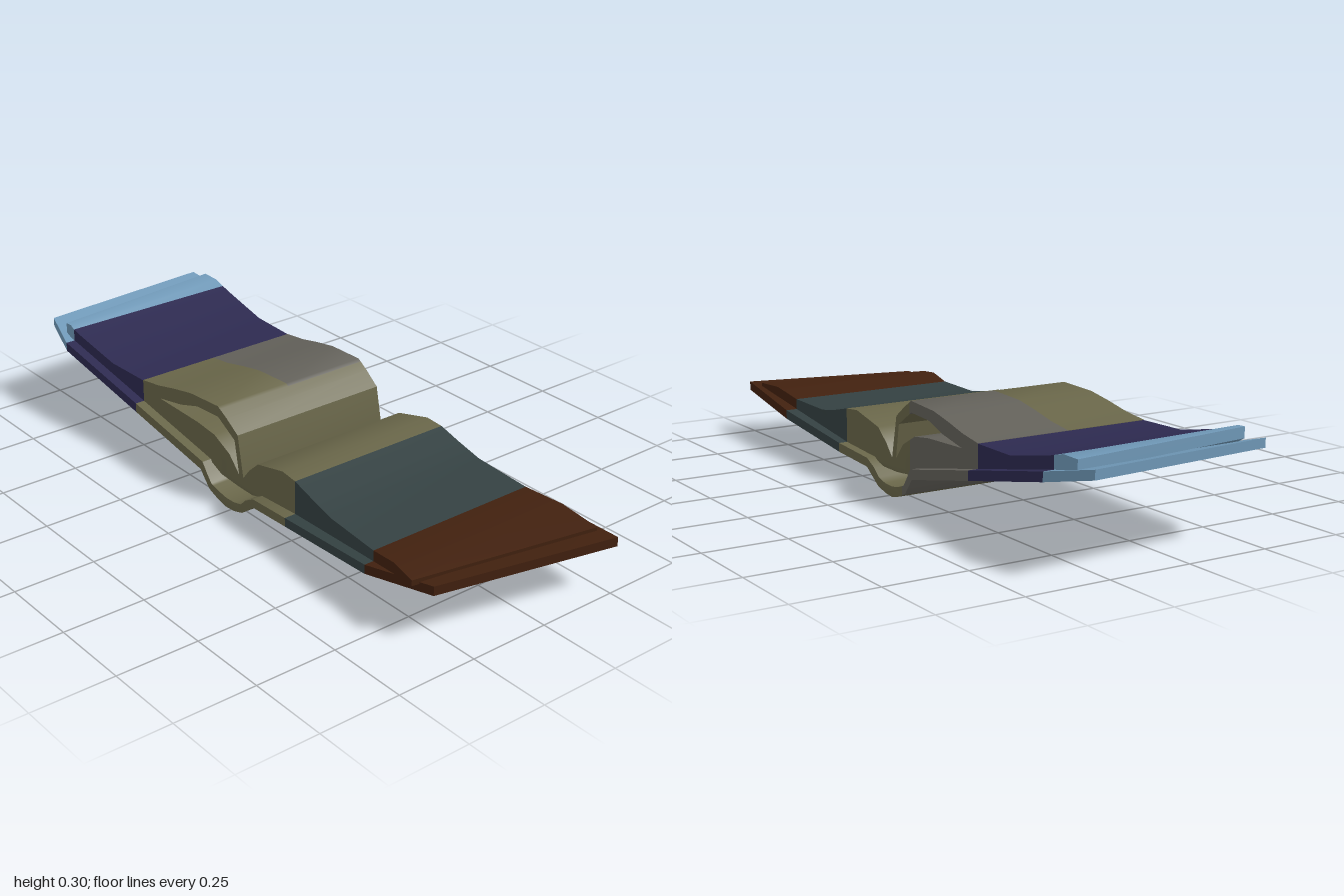
import * as THREE from 'three';
import { toCreasedNormals } from 'three/addons/utils/BufferGeometryUtils.js';

const mat = (name, color) => {
  const m = new THREE.MeshStandardMaterial({ color, side: THREE.DoubleSide });
  m.name = name;
  return m;
};

// height (or depth) along a polyline of [x, value] points
function at(line, x) {
  if (x <= line[0][0]) return line[0][1];
  for (let i = 1; i < line.length; i++) {
    const [x0, a] = line[i - 1], [x1, b] = line[i];
    if (x <= x1) return a + (b - a) * (x - x0) / (x1 - x0);
  }
  return line[line.length - 1][1];
}

// polyline clipped to x0..x1
function clip(line, x0, x1) {
  return [[x0, at(line, x0)], ...line.filter(p => p[0] > x0 + 1e-4 && p[0] < x1 - 1e-4), [x1, at(line, x1)]];
}

export function createModel() {
  const book = new THREE.Group();
  book.name = 'openBook';

  const blue = mat('light blue', 0x7099b8);
  const navy = mat('navy', 0x2d2a50);
  const grey = mat('warm grey', 0x63615a);
  const olive = mat('olive', 0x696649);
  const teal = mat('dark teal', 0x344142);
  const brown = mat('brown', 0x42210f);

  // colour bands: x from, x to, depth share from, to
  const bands = [
    [-1, -0.83, 0, 1, blue],
    [-0.83, -0.46, 0, 1, navy],
    [-0.46, -0.08, 0, 0.53, grey],
    [-0.46, -0.08, 0.53, 1, olive],
    [-0.08, 0.28, 0, 1, olive],
    [0.28, 0.65, 0, 1, teal],
    [0.65, 1, 0, 1, brown],
  ];

  // a layer between two height lines, its back and front edges given along x
  function addLayer(name, { top, bottom, back, front, slantLeft, slantRight }) {
    const group = new THREE.Group();
    group.name = name;
    const start = top[0][0], end = top[top.length - 1][0];
    for (const [b0, b1, t0, t1, material] of bands) {
      const x0 = Math.max(b0, start), x1 = Math.min(b1, end);
      if (x1 - x0 < 0.001) continue;
      const outline = [...clip(bottom, x0, x1), ...clip(top, x0, x1).reverse()];
      const shape = new THREE.Shape(outline.map(p => new THREE.Vector2(p[0], p[1])));
      const geo = new THREE.ExtrudeGeometry(shape, { depth: 1, bevelEnabled: false });
      const pos = geo.attributes.position;
      for (let i = 0; i < pos.count; i++) {
        const x = pos.getX(i), t = t0 + (t1 - t0) * pos.getZ(i);
        pos.setZ(i, THREE.MathUtils.lerp(at(back, x), at(front, x), t));
        // slanted outer edges
        const w = x < 0 ? Math.max(0, (-x - 0.83) / 0.17) * slantLeft
          : -Math.max(0, (x - 0.65) / 0.35) * slantRight;
        pos.setX(i, x + w * t);
      }
      geo.computeVertexNormals();
      const mesh = new THREE.Mesh(toCreasedNormals(geo, 0.7), material);
      mesh.name = name + ' ' + material.name;
      group.add(mesh);
    }
    book.add(group);
  }

  // cover boards joined by a rounded, hollow spine
  addLayer('cover', {
    bottom: [[-1, 0.26], [-0.14, 0.08], [-0.125, 0.06], [-0.1, 0.03], [-0.06, 0.013], [-0.02, 0.003],
      [0.02, 0.007], [0.06, 0.02], [0.09, 0.042], [0.12, 0.065], [1, 0.145]],
    top: [[-1, 0.287], [-0.13, 0.108], [-0.11, 0.078], [-0.09, 0.052], [-0.06, 0.042], [-0.02, 0.034],
      [0.02, 0.036], [0.055, 0.046], [0.08, 0.07], [0.12, 0.092], [1, 0.173]],
    back: [[-1, -0.3], [-0.985, -0.328], [-0.95, -0.34], [0, -0.3], [0.36, -0.315], [0.8, -0.295], [0.97, -0.277], [1, -0.262]],
    front: [[-1, 0.28], [-0.98, 0.305], [-0.93, 0.315], [0, 0.28], [0.9, 0.335], [0.97, 0.322], [1, 0.285]],
    slantLeft: 0.045, slantRight: 0.12,
  });

  // edges shared by the page block and the lifted leaves
  const pageEdges = {
    back: [[-0.935, -0.305], [0, -0.273], [0.3, -0.285], [0.935, -0.25]],
    front: [[-0.935, 0.285], [0, 0.25], [0.33, 0.262], [0.935, 0.315]],
    slantLeft: 0.11, slantRight: 0.13,
  };

  // page block lying on the cover
  addLayer('pageBlock', {
    ...pageEdges,
    bottom: [[-0.935, 0.268], [-0.13, 0.102], [-0.08, 0.078], [0, 0.07], [0.07, 0.072], [0.12, 0.086], [0.935, 0.161]],
    top: [[-0.935, 0.3], [-0.87, 0.3], [-0.8, 0.282], [-0.62, 0.246], [-0.46, 0.245], [-0.42, 0.23], [-0.38, 0.216],
      [-0.19, 0.207], [-0.11, 0.196], [-0.04, 0.16], [0.002, 0.112], [0.025, 0.108], [0.055, 0.145], [0.1, 0.185],
      [0.22, 0.215], [0.28, 0.21], [0.36, 0.191], [0.45, 0.175], [0.65, 0.173], [0.8, 0.187], [0.935, 0.178]],
  });

  // leaves arching up over a gap and folding into the spine
  addLayer('liftedLeaves', {
    ...pageEdges,
    bottom: [[-0.46, 0.244], [-0.38, 0.215], [-0.27, 0.234], [-0.19, 0.258], [-0.09, 0.262], [-0.015, 0.215], [0.004, 0.11], [0.025, 0.106]],
    top: [[-0.46, 0.246], [-0.38, 0.257], [-0.3, 0.275], [-0.22, 0.29], [-0.09, 0.296], [-0.05, 0.272], [0, 0.236], [0.025, 0.108]],
  });

  return book;
}
